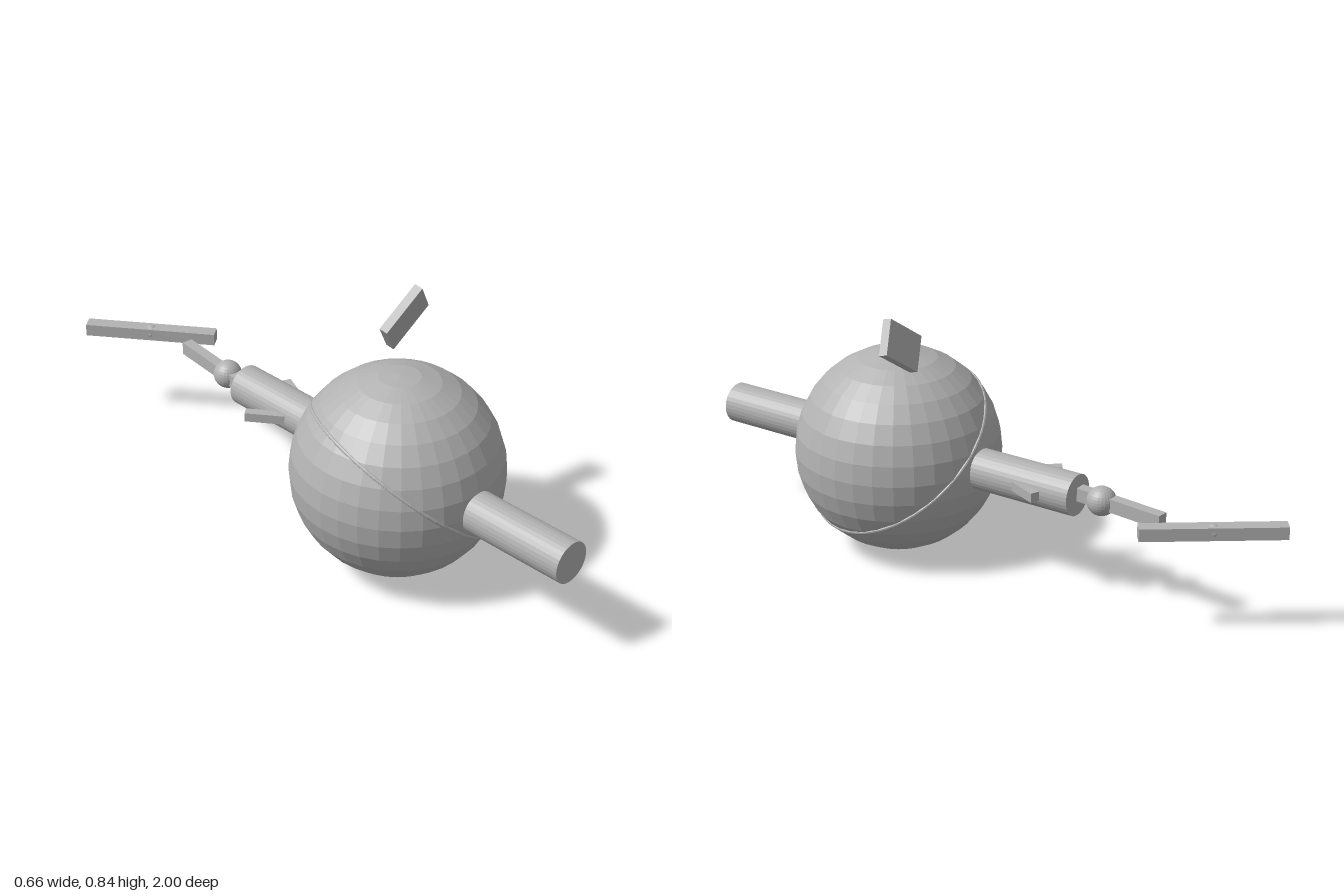
import * as THREE from 'three';

export function createModel() {
  const model = new THREE.Group();
  const grey = new THREE.MeshStandardMaterial({ color: 0xb2b2b2, flatShading: true });
  grey.name = 'plain grey';
  const AXIS_Y = 0.335, BODY_Z = 0.327;

  const add = (name, geometry, x, y, z) => {
    const mesh = new THREE.Mesh(geometry, grey);
    mesh.name = name;
    mesh.position.set(x, y, z);
    model.add(mesh);
    return mesh;
  };

  // Horizontal bar laid between two [x, z] points on the shaft's height
  const bar = (name, a, b, width, height) => {
    const dx = b[0] - a[0], dz = b[1] - a[1];
    const mesh = add(name, new THREE.BoxGeometry(width, height, Math.hypot(dx, dz)),
      (a[0] + b[0]) / 2, AXIS_Y + 0.003, (a[1] + b[1]) / 2);
    mesh.rotation.y = Math.atan2(dx, dz);
    return mesh;
  };

  // Body and the shaft running through it
  add('body', new THREE.SphereGeometry(0.33, 32, 16), 0, AXIS_Y, BODY_Z);
  add('shaft', new THREE.CylinderGeometry(0.066, 0.066, 1.345, 32), 0, AXIS_Y, BODY_Z)
    .rotation.x = Math.PI / 2;

  // Thin tilted band round the body
  const band = add('band', new THREE.TorusGeometry(0.327, 0.006, 8, 64), 0, AXIS_Y, BODY_Z);
  band.quaternion.setFromUnitVectors(new THREE.Vector3(0, 0, 1),
    new THREE.Vector3(0.57, 0.724, 0.235).normalize());

  // Floating tilted plate above the body
  const along = new THREE.Vector3(0.146, 0.097, 0.005).normalize();
  const up = new THREE.Vector3(-0.062, 0.097, 0.03).normalize();
  const out = new THREE.Vector3().crossVectors(along, up).normalize();
  up.crossVectors(out, along);
  add('plate', new THREE.BoxGeometry(0.175, 0.115, 0.028), 0.151, 0.746, 0.2)
    .quaternion.setFromRotationMatrix(new THREE.Matrix4().makeBasis(along, up, out));

  // Small angled fins on the rear shaft
  bar('leftFin', [0.045, -0.14], [0.092, -0.252], 0.029, 0.03);
  bar('rightFin', [-0.045, -0.095], [-0.128, -0.209], 0.029, 0.03);

  // Tail: arm through a ball joint, then a separate blade with its pivot
  bar('tailArm', [-0.016, -0.32], [0.021, -0.652], 0.036, 0.043);
  add('ballJoint', new THREE.SphereGeometry(0.046, 24, 16), 0, AXIS_Y + 0.003, -0.43);
  bar('blade', [0.13, -0.633], [-0.13, -0.985], 0.045, 0.04);
  add('bladePivot', new THREE.SphereGeometry(0.024, 16, 12), 0, AXIS_Y + 0.003, -0.809);

  return model;
}
